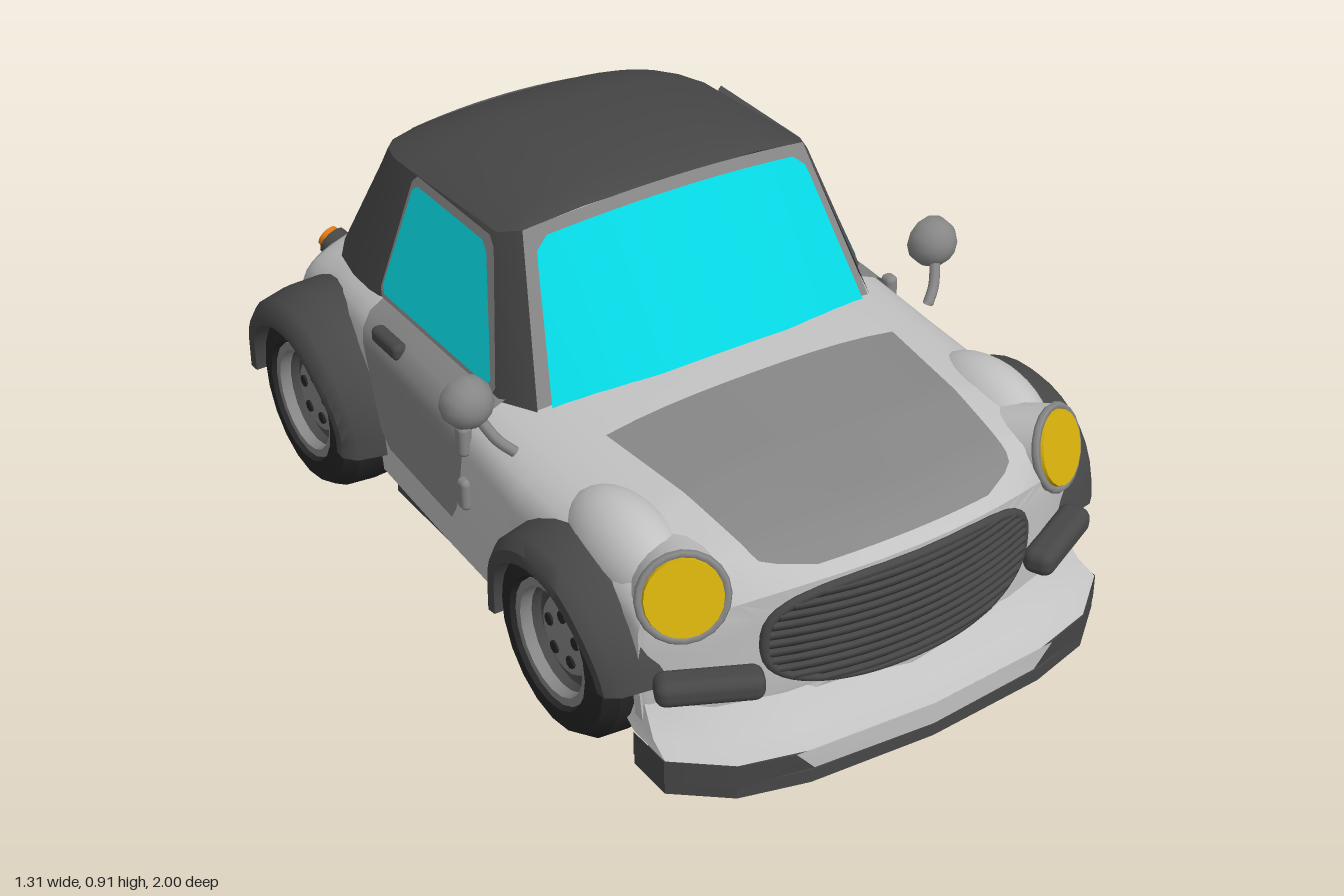
import * as THREE from 'three';
import { toCreasedNormals } from 'three/addons/utils/BufferGeometryUtils.js';
import { RoundedBoxGeometry } from 'three/addons/geometries/RoundedBoxGeometry.js';

const mat = (name, color) => Object.assign(
  new THREE.MeshStandardMaterial({ color, side: THREE.DoubleSide }), { name });
const paint = mat('paint', 0xc2c2c2), panel = mat('panel grey', 0x868686), dark = mat('dark trim', 0x474747),
  black = mat('rubber black', 0x252525), glass = mat('glass', 0x06d9e4), yellow = mat('lamp yellow', 0xd6b00c),
  orange = mat('lamp orange', 0xe07a12);

const lerp = THREE.MathUtils.lerp, clamp = THREE.MathUtils.clamp;
const V = (x, y, z) => new THREE.Vector3(x, y, z);
const range = (a, b, n) => Array.from({ length: n + 1 }, (_, i) => lerp(a, b, i / n));

// Piecewise-linear lookup in rows sorted by their first value
function look(table, t, col = 1) {
  let i = 1;
  while (i < table.length - 1 && t > table[i][0]) i++;
  const a = table[i - 1], b = table[i];
  return lerp(a[col], b[col], clamp((t - a[0]) / (b[0] - a[0]), 0, 1));
}

// Surface through rows of [x, y, z] points
function grid(rows, crease = 0.6) {
  const n = rows[0].length, idx = [];
  for (let r = 0; r < rows.length - 1; r++)
    for (let c = 0; c < n - 1; c++) {
      const a = r * n + c, b = a + n;
      idx.push(a, a + 1, b, b, a + 1, b + 1);
    }
  const g = new THREE.BufferGeometry();
  g.setAttribute('position', new THREE.Float32BufferAttribute(rows.flat(2), 3));
  g.setIndex(idx);
  g.computeVertexNormals();
  return toCreasedNormals(g, crease);
}

// Body stations: z, half width, crown height, shoulder height, sill height
const BODY = [
  [-0.97, 0.38, 0.33, 0.26, 0.2], [-0.94, 0.42, 0.395, 0.29, 0.2], [-0.9, 0.45, 0.435, 0.32, 0.18],
  [-0.8, 0.475, 0.49, 0.36, 0.13], [-0.6, 0.5, 0.55, 0.4, 0.13], [-0.4, 0.53, 0.58, 0.43, 0.13],
  [0, 0.55, 0.58, 0.43, 0.13], [0.3, 0.56, 0.568, 0.41, 0.13], [0.6, 0.55, 0.552, 0.41, 0.13],
  [0.8, 0.55, 0.525, 0.38, 0.13], [0.87, 0.54, 0.505, 0.34, 0.13], [0.92, 0.53, 0.47, 0.32, 0.13]];
const WHEELS = [0.51, -0.565], WELL = 0.225;

// Squareness of the section, softer towards the nose
const power = z => 3 - 0.5 * clamp((z - 0.12) / 0.1, 0, 1) - 0.5 * clamp((z - 0.6) / 0.25, 0, 1);
// Both ends bow in plan
const noseBow = x => -0.175 * (x / 0.55) ** 2;
const bow = (x, z) => z > 0
  ? noseBow(x) * clamp((z - 0.7) / 0.2, 0, 1) ** 2
  : 0.07 * (x / 0.45) ** 2 * clamp((-0.75 - z) / 0.2, 0, 1);
function topPoint(x, z, off) {
  const w = look(BODY, z), yt = look(BODY, z, 2), ym = look(BODY, z, 3), p = power(z);
  const y = ym + (yt - ym) * (1 - Math.min(1, Math.abs(x) / w) ** p) ** (1 / p);
  return [x, y + off, z + bow(x, z) + Math.sign(z) * off * 0.7];
}
function sideX(y, z) {
  const w = look(BODY, z), yt = look(BODY, z, 2), ym = look(BODY, z, 3), p = power(z);
  return y > ym ? w * (1 - ((y - ym) / (yt - ym)) ** p) ** (1 / p) : w;
}

function bodyGeometry() {
  const zs = BODY.map(r => r[0]);
  for (const c of WHEELS) {
    zs.push(c - WELL - 0.002, c + WELL + 0.002);
    for (const a of range(0, Math.PI, 12)) zs.push(c + WELL * Math.cos(a));
  }
  zs.sort((a, b) => a - b);
  const section = (z, s = 1) => {
    const [w, yt, ym, sill] = [1, 2, 3, 4].map(c => look(BODY, z, c)), e = 2 / power(z);
    let arch = sill;
    for (const c of WHEELS)
      if (Math.abs(z - c) <= WELL + 1e-6)
        arch = Math.min(ym - 0.01, 0.22 + Math.sqrt(Math.max(0, WELL ** 2 - (z - c) ** 2)));
    const half = range(0, Math.PI / 2, 10).map(a =>
      [w * Math.sin(a) ** e, ym + (yt - ym) * Math.max(0, Math.cos(a)) ** e]);
    half.push([w, (ym + arch) / 2], [w * 0.98, arch], [0.36, arch], [0.36, sill], [0, sill]);
    const full = [...half.map(([x, y]) => [-x, y]).reverse(), ...half.slice(1)];
    return full.map(([x, y]) => [x * s, lerp(0.29, y, s), z + bow(x * s, z)]);
  };
  const ends = [0, 0.25, 0.5, 0.75];
  return grid([...ends.map(s => section(zs[0], s)), ...zs.map(z => section(z)),
    ...ends.reverse().map(s => section(zs.at(-1), s))]);
}

export function createModel() {
  const car = new THREE.Group();
  car.name = 'car';
  const add = (name, geo, m, pos = [0, 0, 0], parent = car) => {
    const mesh = new THREE.Mesh(geo, m);
    mesh.name = name;
    mesh.position.set(...pos);
    parent.add(mesh);
    return mesh;
  };
  const box = (name, size, m, pos) => add(name, new THREE.BoxGeometry(...size), m, pos);
  const tube = (name, pts, r, m, sides = 8, steps = 16) => add(name,
    new THREE.TubeGeometry(new THREE.CatmullRomCurve3(pts.map(p => V(...p))), steps, r, sides), m);
  const bar = (name, size, m, pos, round = 0.4) =>
    add(name, new RoundedBoxGeometry(...size, 3, Math.min(...size) * round), m, pos);

  add('body', bodyGeometry(), paint);
  add('hood', grid(range(0.35, 0.895, 20).map(z => {
    const w = lerp(0.365, 0.31, (z - 0.35) / 0.545) - 0.1 * clamp((z - 0.81) / 0.085, 0, 1) ** 3;
    return range(-w, w, 10).map(x => topPoint(x, z, 0.006));
  })), panel);
  add('trunkLid', grid(range(-0.965, -0.84, 8).map(z => {
    const w = lerp(0.23, 0.265, (z + 0.965) / 0.125) - 0.04 * clamp((-0.935 - z) / 0.03, 0, 1) ** 2;
    return range(-w, w, 8).map(x => topPoint(x, z, 0.007));
  })), panel);
  bar('trunkHandle', [0.1, 0.03, 0.03], dark, [0, 0.405, -0.95]);

  // Soft top: half outline at the belt and at the eaves, front to rear
  const belt = [[0.43, 0.53, 0.195], [0.47, 0.53, 0.1], [0.47, 0.52, -0.42], [0.458, 0.51, -0.56],
    [0.425, 0.49, -0.68], [0.375, 0.48, -0.76], [0.3, 0.47, -0.8]];
  const eave = [[0.355, 0.865, 0.025], [0.385, 0.845, -0.03], [0.385, 0.825, -0.4], [0.375, 0.812, -0.49],
    [0.352, 0.8, -0.56], [0.32, 0.795, -0.597], [0.27, 0.795, -0.615]];
  const around = (half, mid) => [...half, mid, ...half.map(([x, y, z]) => [-x, y, z]).reverse()];
  add('softTopWalls', grid([around(belt, [0, 0.47, -0.83]), around(eave, [0, 0.805, -0.63])], 0.9), dark);
  const RIDGE = [[-0.63, 0.805], [-0.55, 0.845], [-0.4, 0.885], [-0.1, 0.917], [-0.03, 0.912], [0.045, 0.895]];
  const rim = [[0, 0.895, 0.045], ...around([[0.22, 0.887, 0.04], ...eave], [0, 0.805, -0.63]), [0, 0.895, 0.045]];
  add('softTopRoof', grid([0, 0.06, 0.14, 0.3, 0.6, 1].map(t => rim.map(([x, y, z]) =>
    [x * (1 - t), lerp(y, look(RIDGE, z), 1 - (1 - t) ** 3), z])), 1), dark);

  // Windscreen and rear window with frames
  const screen = (u, v, o) => [u * lerp(0.43, 0.355, v), lerp(0.57 - 0.05 * u * u, 0.895 - 0.03 * u * u, v) + o * 0.6,
    lerp(0.25 - 0.055 * u * u, 0.045 - 0.02 * u * u, v) + o];
  const rear = (u, v, o) => [u * lerp(0.29, 0.28, v), lerp(0.47, 0.805 - 0.015 * u * u, v) + o * 0.5,
    lerp(-0.83 + 0.03 * u * u, -0.63 + 0.015 * u * u, v) - o];
  const pane = (name, f, w, v0, v1, o, m) => add(name, grid(range(v0, v1, 16).map(v => {
    const k = w - 0.07 * clamp((v - v1 + 0.08) / 0.08, 0, 1) ** 2;
    return range(-k, k, 12).map(u => f(u, v, o));
  })), m);
  add('windscreenFrame', grid(range(0, 1, 4).map(v => range(-1, 1, 12).map(u => screen(u, v, 0)))), panel);
  pane('windscreen', screen, 0.935, 0, 0.93, 0.007, glass);
  pane('rearWindowFrame', rear, 0.97, 0.08, 0.98, 0.008, panel);
  pane('rearWindow', rear, 0.92, 0.1, 0.95, 0.013, glass);

  // Grille
  const noseZ = x => 0.922 + noseBow(x);
  const oval = (a, s) => {
    const c = Math.cos(a), d = Math.sin(a);
    return [0.325 * s * Math.sign(c) * Math.abs(c) ** 0.72, 0.328 + 0.122 * s * Math.sign(d) * Math.abs(d) ** 0.72];
  };
  const turn = range(0, Math.PI * 2, 40);
  add('grilleBack', grid(range(0, 1, 6).map(s => turn.map(a => {
    const [x, y] = oval(a, s);
    return [x, y, noseZ(x) + 0.006];
  }))), black);
  tube('grilleRim', turn.map(a => [...oval(a, 1), noseZ(oval(a, 1)[0])]), 0.011, dark, 8, 80);
  for (const k of range(-0.87, 0.87, 10)) {
    const w = 0.32 * (1 - Math.abs(k) ** 2.8) ** 0.36;
    tube('grilleSlat', range(-w, w, 6).map(x => [x, 0.328 + 0.122 * k, noseZ(x) + 0.004]), 0.0095, dark, 6);
  }

  // Front bumper: plan prisms, dark lip with a painted middle
  const lip = [[-0.55, 0.74], [-0.55, 0.85], [-0.44, 0.94], [-0.29, 0.98], [0, 1], [0.29, 0.98], [0.44, 0.94], [0.55, 0.85], [0.55, 0.74]];
  const prism = (name, pts, y0, y1, m) => add(name, new THREE.ExtrudeGeometry(
    new THREE.Shape(pts.map(([x, z]) => new THREE.Vector2(x, -z))), { depth: y1 - y0, bevelEnabled: false })
    .rotateX(-Math.PI / 2), m, [0, y0, 0]);
  prism('bumperLip', lip, 0.045, 0.076, dark);
  prism('bumperSkid', [[-0.1, 0.82], [-0.1, 0.985], [0.1, 0.985], [0.1, 0.82]], 0.041, 0.045, paint);
  const middle = (x, y) => [[-x, y, 0.977], [0, y, 1], [x, y, 0.977]];
  add('bumperMiddle', grid([middle(0.28, 0.076), middle(0.325, 0.128)]), paint);
  add('bumperFlare', grid([lip.map(([x, z]) => [x, 0.127, z]), lip.map(([x, z]) => [x * 0.99, 0.145, z - 0.05]),
    lip.map(([x, z]) => [x * 0.97, 0.2, z - 0.1])]), paint);

  // Rear bumper and diffuser
  tube('rearBumper', [[-0.46, 0.225, -0.87], [-0.32, 0.225, -0.935], [0, 0.225, -0.965], [0.32, 0.225, -0.935], [0.46, 0.225, -0.87]], 0.035, dark);
  box('diffuser', [0.52, 0.09, 0.06], dark, [0, 0.155, -0.91]);
  for (const x of range(-0.21, 0.21, 8)) box('diffuserFin', [0.016, 0.1, 0.08], dark, [x, 0.135, -0.945]).rotation.x = 0.4;

  // Underside
  box('floorPan', [0.7, 0.02, 1.6], dark, [0, 0.12, -0.05]);
  for (const x of [-0.14, 0.14]) box('chassisRail', [0.05, 0.03, 1.45], dark, [x, 0.105, -0.05]);
  for (const z of [0.51, 0.1, -0.3]) box('crossMember', [0.7, 0.03, 0.06], dark, [0, 0.105, z]);
  for (const z of WHEELS) add('axle', new THREE.CylinderGeometry(0.03, 0.03, 0.9, 10).rotateZ(Math.PI / 2), dark, [0, 0.2, z]);
  tube('exhaustPipe', [[0.06, 0.1, 0.4], [0.06, 0.1, -0.4], [0.2, 0.12, -0.9]], 0.018, panel);

  // Wheel profiles: radius, offset along the axle
  const tyre = [[0.14, -0.11], [0.19, -0.115], [0.215, -0.08], [0.22, 0], [0.215, 0.07], [0.195, 0.1], [0.145, 0.11], [0.135, 0.08]];
  const rimRing = [[0.138, 0.085], [0.138, 0.1], [0.12, 0.1], [0.116, 0.075]];
  const rimDish = [[0.116, 0.075], [0.112, 0.055], [0.088, 0.05]];
  const rimDisc = [[0.092, 0.05], [0.082, 0.068], [0, 0.075]];
  const lathe = pts => toCreasedNormals(new THREE.LatheGeometry(pts.map(p => new THREE.Vector2(...p)), 20).rotateZ(-Math.PI / 2), 0.5);
  // Arch flares: centre, radius along z, outer height, end angles
  const arches = [[0.52, 0.265, 0.265, 0.15, Math.PI + 0.15], [-0.57, 0.27, 0.27, -0.08, Math.PI + 0.05]];

  for (const s of [-1, 1]) {
    WHEELS.forEach((z, i) => {
      const wheel = new THREE.Group();
      wheel.name = 'wheel';
      wheel.position.set(s * 0.5, 0.22, z);
      if (s < 0) wheel.rotation.y = Math.PI;
      car.add(wheel);
      add('tyre', lathe(tyre), black, [0, 0, 0], wheel);
      add('rimRing', lathe(rimRing), panel, [0, 0, 0], wheel);
      add('rimDish', lathe(rimDish), dark, [0, 0, 0], wheel);
      add('rimDisc', lathe(rimDisc), panel, [0, 0, 0], wheel);
      for (let k = 0; k < 5; k++) {
        const a = k * Math.PI * 0.4 + Math.PI / 2;
        add('rimHole', new THREE.CylinderGeometry(0.014, 0.014, 0.01, 8).rotateZ(Math.PI / 2), black,
          [0.071, 0.052 * Math.sin(a), 0.052 * Math.cos(a)], wheel);
      }
      const [zc, rz, ry, a0, a1] = arches[i];
      add('wheelArch', grid([[1, 0.44], [0.95, 0.55], [0.75, 0.615], [0.4, 0.64], [0, 0.64], [0, 0.42]].map(([k, x]) =>
        range(a0, a1, 18).map(a => [s * (x - 0.02 * Math.cos(a) ** 6), 0.21 + lerp(0.195, ry, k) * Math.sin(a),
          zc + lerp(0.2, rz, k) * Math.cos(a)])), 0.8), dark);
    });

    // Door, side window and fittings
    add('door', grid(range(0.235, 0.545, 10).map(y =>
      range(look([[0.235, 0.04], [0.28, 0.07], [0.5, 0.115]], y), look([[0.235, -0.26], [0.26, -0.3], [0.37, -0.34], [0.53, -0.4]], y), 8)
        .map(z => [s * (sideX(y, z) + 0.007), y, z]))), panel);
    const sidePane = (name, o, e, m) => add(name, grid([0, 0.06, 0.94, 1].map(t => {
      const y = lerp(0.555 - e, 0.822 + e, t), r = t % 1 ? 0 : 0.015;
      return range(lerp(0.085, -0.04, t) + e - r, lerp(-0.39, -0.345, t) - e + r, 4)
        .map(z => [s * (0.472 - (y - 0.53) * 0.27 + o), y, z]);
    })), m);
    sidePane('sideWindowFrame', 0.006, 0.015, panel);
    sidePane('sideWindow', 0.012, 0, glass);
    bar('doorHandle', [0.035, 0.04, 0.115], dark, [s * 0.525, 0.5, -0.27]);
    for (const y of [0.465, 0.33]) bar('doorHinge', [0.03, 0.075, 0.035], panel, [s * 0.555, y, 0.1]);
    box('sill', [0.04, 0.035, 0.5], dark, [s * 0.5, 0.12, -0.03]);

    // Mirror
    tube('mirrorStem', [[s * 0.53, 0.52, 0.27], [s * 0.56, 0.55, 0.25], [s * 0.59, 0.61, 0.21]], 0.012, panel);
    add('mirrorShell', new THREE.SphereGeometry(0.058, 12, 8, 0, Math.PI * 2, 0, Math.PI * 0.58).rotateX(Math.PI / 2), panel, [s * 0.595, 0.622, 0.19]);
    add('mirrorGlass', new THREE.SphereGeometry(0.054, 12, 4, 0, Math.PI * 2, 0, Math.PI / 2).rotateX(-Math.PI / 2), glass,
      [s * 0.595, 0.622, 0.177]).scale.z = 0.35;

    // Front fender and headlight
    add('fender', new THREE.SphereGeometry(1, 20, 14), paint, [s * 0.458, 0.43, 0.57]).scale.set(0.096, 0.115, 0.18);
    const lamp = new THREE.Group();
    lamp.name = 'headlight';
    lamp.position.set(s * 0.465, 0.45, 0.782);
    lamp.lookAt(s * 0.845, 0.75, 1.652);
    car.add(lamp);
    add('headlightHousing', new THREE.CylinderGeometry(0.092, 0.094, 0.16, 20).rotateX(Math.PI / 2), paint, [0, 0, -0.075], lamp);
    add('headlightRing', new THREE.TorusGeometry(0.088, 0.009, 6, 20), panel, [0, 0, 0.005], lamp);
    add('headlightLens', new THREE.CylinderGeometry(0.08, 0.084, 0.02, 20).rotateX(Math.PI / 2), yellow, [0, 0, 0.008], lamp);
    bar('overrider', [0.22, 0.06, 0.07], dark, [s * 0.44, 0.26, 0.84]).rotation.y = s * 0.45;

    // Front bumper ends and their undersides
    add('bumperEnd', grid([0.07, 0.127].map((y, i) =>
      [[i ? 0.32 : 0.275, 0.977], [0.44, 0.942], [0.552, 0.85], [0.552, 0.74]].map(([x, z]) => [s * x, y, z]))), dark);
    prism('bumperSkid', [[0.34, 0.8], [0.34, 0.955], [0.44, 0.93], [0.54, 0.85], [0.54, 0.75]].map(([x, z]) => [s * x, z]), 0.041, 0.045, paint);

    // Rear lamps, hinges, valance and exhaust tips
    for (const [x, y, z] of [[0.335, 0.393, -0.89], [0.312, 0.325, -0.935]]) {
      const rearLamp = new THREE.Group();
      rearLamp.name = 'rearLamp';
      rearLamp.position.set(s * x, y, z);
      rearLamp.lookAt(s * (x + 0.25), y + 0.4, z - 0.85);
      car.add(rearLamp);
      add('lampBase', new THREE.CylinderGeometry(0.038, 0.042, 0.05, 12).rotateX(Math.PI / 2), dark, [0, 0, -0.01], rearLamp);
      add('lampLens', new THREE.CylinderGeometry(0.028, 0.031, 0.02, 12).rotateX(Math.PI / 2), orange, [0, 0, 0.022], rearLamp);
    }
    bar('trunkHinge', [0.08, 0.03, 0.035], dark, [s * 0.17, 0.485, -0.835]);
    bar('rearValance', [0.13, 0.22, 0.12], paint, [s * 0.4, 0.17, -0.865], 0.2).rotation.y = s * 0.2;
    add('exhaustTip', new THREE.CylinderGeometry(0.028, 0.028, 0.1, 12).rotateX(Math.PI / 2), dark, [s * 0.27, 0.125, -0.94]);
  }
  return car;
}
